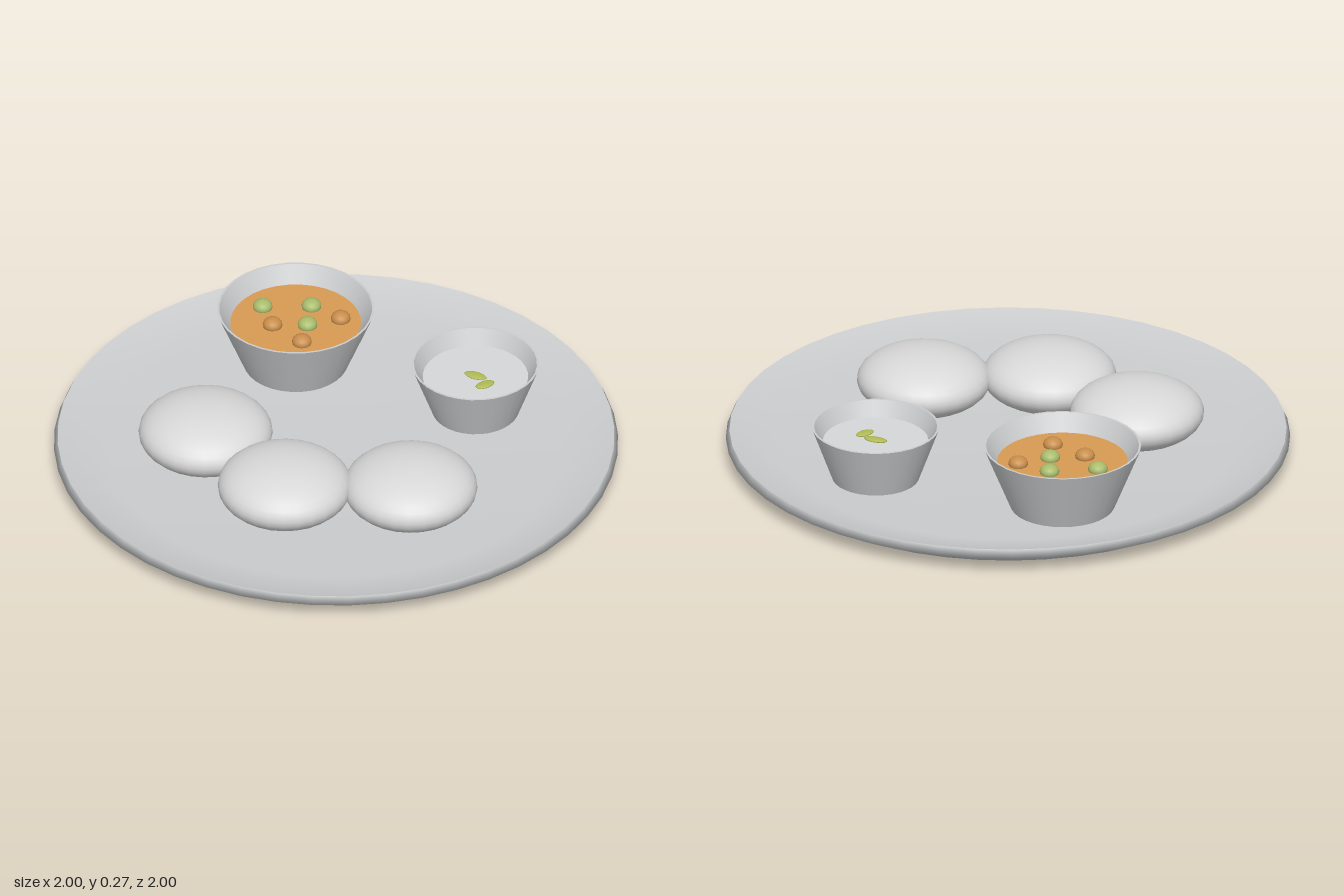
import * as THREE from 'three';

const paint = (name, color, side = THREE.FrontSide) => {
  const m = new THREE.MeshStandardMaterial({ color, side });
  m.name = name;
  return m;
};

export function createModel() {
  const group = new THREE.Group();
  group.name = 'mealPlate';
  const steel = paint('steel', 0xcacccd, THREE.DoubleSide);
  const cake = paint('steamedCake', 0xd8d8d8);
  const cream = paint('creamSauce', 0xd6d7d8);
  const stew = paint('stew', 0xd89a52);
  const pea = paint('pea', 0xa8bc6c);
  const lentil = paint('lentil', 0xc88e4c);
  const leaf = paint('leaf', 0xb0ba55);

  const add = (name, geometry, material, parent, x = 0, y = 0, z = 0) => {
    const mesh = new THREE.Mesh(geometry, material);
    mesh.name = name;
    mesh.position.set(x, y, z);
    parent.add(mesh);
    return mesh;
  };
  const lathe = (points, segments) =>
    new THREE.LatheGeometry(points.map(([x, y]) => new THREE.Vector2(x, y)), segments);

  // Plate: bevelled underside with narrow rim, and a shallow dish with a sharp edge
  add('plateUnderside', lathe([[0, 0], [0.89, 0], [1, 0.06], [0.987, 0.09]], 48), steel, group);
  add('plateDish', lathe([[0.987, 0.09], [0.8, 0.037], [0, 0.035]], 48), steel, group);

  // Three flattened steamed cakes
  for (const [x, z] of [[-0.4, 0.232], [0, 0.397], [0.4, 0.202]]) {
    add('steamedCake', new THREE.SphereGeometry(0.238, 28, 18), cake, group, x, 0.125, z)
      .scale.y = 0.11 / 0.238;
  }

  // Tapered bowl with a thin lip, filled with a flat disc
  const makeBowl = (name, x, z, base, radius, top, fillRadius, fillY, fill) => {
    const bowl = new THREE.Group();
    bowl.name = name;
    bowl.position.set(x, 0, z);
    group.add(bowl);
    const lip = radius - 0.008;
    add('bowlOuterWall', lathe([[base, 0.034], [radius, top]], 32), steel, bowl);
    add('bowlLip', lathe([[radius, top], [lip, top]], 32), steel, bowl);
    add('bowlInnerWall', lathe([[lip, top], [fillRadius, fillY - 0.003]], 32), steel, bowl);
    add('bowlFilling', new THREE.CircleGeometry(fillRadius, 32).rotateX(-Math.PI / 2), fill, bowl, 0, fillY);
    return bowl;
  };
  const stewBowl = makeBowl('stewBowl', -0.367, -0.402, 0.184, 0.279, 0.27, 0.232, 0.208, stew);
  const sauceBowl = makeBowl('sauceBowl', 0.332, -0.435, 0.153, 0.226, 0.235, 0.187, 0.18, cream);

  // Peas and lentils floating in the stew
  const floats = [
    [-0.36, -0.51, pea], [-0.512, -0.428, pea], [-0.32, -0.402, pea],
    [-0.233, -0.49, lentil], [-0.43, -0.345, lentil], [-0.29, -0.3, lentil],
  ];
  for (const [x, z, material] of floats) {
    add(material.name, new THREE.SphereGeometry(0.035, 16, 12), material, stewBowl,
      x + 0.367, 0.215, z + 0.402).scale.y = 0.75;
  }

  // Two small leaves half sunk in the sauce, the second one shorter
  for (const [x, z, turn, length] of [[0, 0, 0, 1], [0.055, 0.034, 1.05, 0.85]]) {
    const mesh = add('leaf', new THREE.SphereGeometry(0.044, 14, 8), leaf, sauceBowl, x, 0.183, z);
    mesh.scale.set(length, 0.15, 0.48);
    mesh.rotation.y = turn;
  }
  return group;
}
